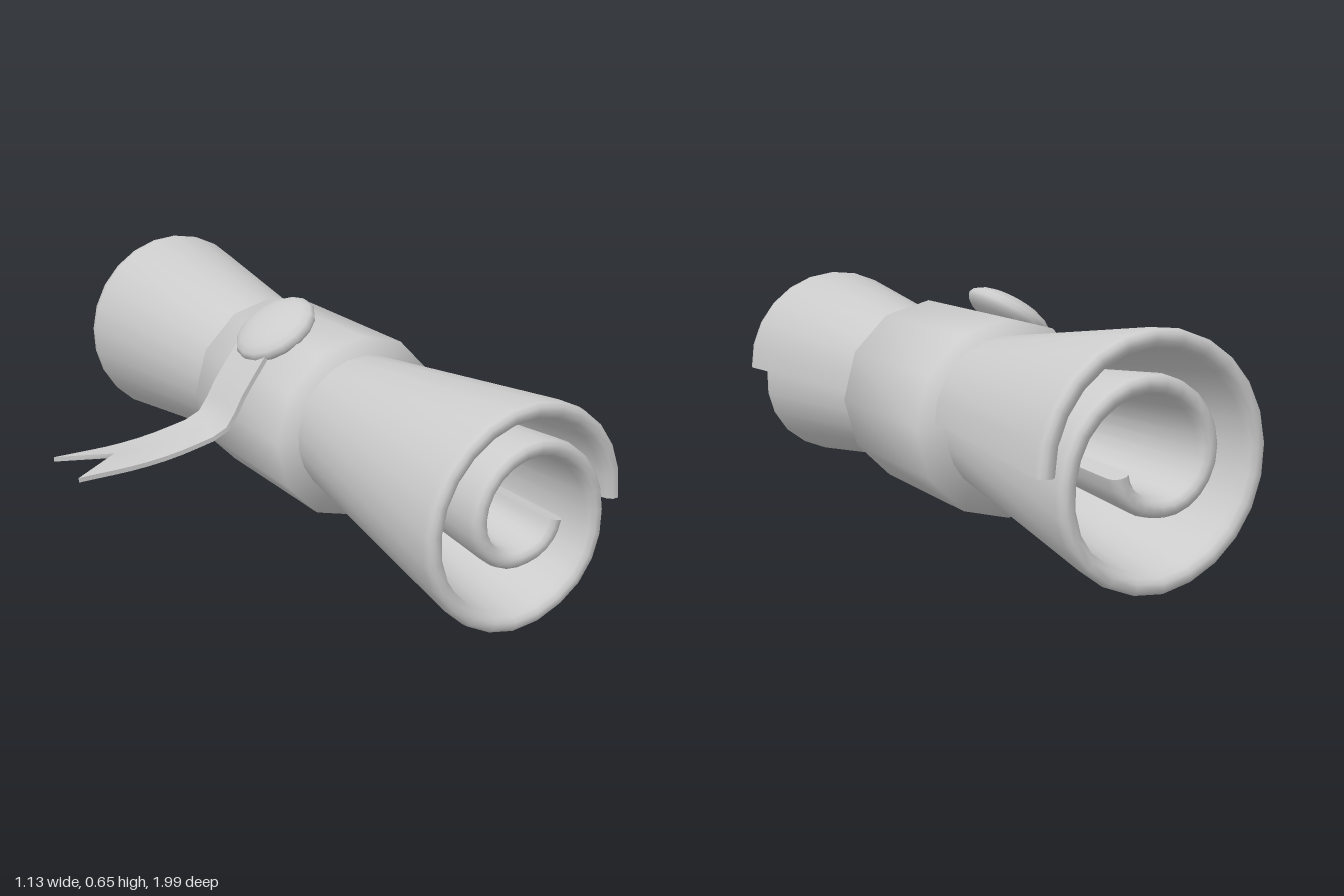
import * as THREE from 'three';
import { mergeVertices, toCreasedNormals } from 'three/addons/utils/BufferGeometryUtils.js';

const material = new THREE.MeshStandardMaterial({ color: 0xcccccc, side: THREE.DoubleSide });

function part(name, geometry) {
  const mesh = new THREE.Mesh(geometry, material);
  mesh.name = name;
  return mesh;
}

// Spiral centre-line: [angle in degrees, radius at the flared ends]
const SPIRAL = [
  [0, 0.285], [90, 0.29], [180, 0.292], [270, 0.293], [315, 0.272], [360, 0.226],
  [405, 0.2], [450, 0.186], [540, 0.152], [630, 0.106], [708, 0.095],
];

function spiralRadius(angle) {
  let i = 0;
  while (i < SPIRAL.length - 2 && angle > SPIRAL[i + 1][0]) i++;
  const [a0, r0] = SPIRAL[i], [a1, r1] = SPIRAL[i + 1];
  return THREE.MathUtils.lerp(r0, r1, (angle - a0) / (a1 - a0));
}

// Rolled sheet: closed spiral outline swept along z, narrow at the waist
function scrollGeometry() {
  const steps = 48, ring = 2 * (steps + 1);
  // [z, wall thickness]; the thinner last stations round off the rims
  const stations = [
    [-0.995, 0.018], [-0.985, 0.04], [-0.965, 0.05], [-0.25, 0.04], [0, 0.03],
    [0.25, 0.04], [0.965, 0.05], [0.985, 0.04], [0.995, 0.018],
  ];
  const positions = [], index = [];
  for (const [z, thickness] of stations) {
    const scale = 0.57 + 0.43 * Math.abs(z) + (z < 0 ? 0.025 * -z : 0);
    const cy = 0.333 - 0.012 * z;
    for (let i = 0; i < ring; i++) {
      const outer = i <= steps;
      const angle = 708 * (outer ? i : ring - 1 - i) / steps;
      const r = spiralRadius(angle) * scale + (outer ? 0.5 : -0.5) * thickness;
      const a = THREE.MathUtils.degToRad(angle);
      positions.push(0.247 + r * Math.cos(a), cy + r * Math.sin(a), z);
    }
  }
  for (let j = 0; j < stations.length - 1; j++) {
    for (let i = 0; i < ring; i++) {
      const a = j * ring + i, b = j * ring + (i + 1) % ring;
      index.push(a, b, b + ring, a, b + ring, a + ring);
    }
  }
  // Rim faces at both ends
  const front = (stations.length - 1) * ring;
  for (let k = 0; k < steps; k++) {
    const o0 = k, o1 = k + 1, i0 = ring - 1 - k, i1 = ring - 2 - k;
    index.push(front + o0, front + o1, front + i1, front + o0, front + i1, front + i0);
    index.push(o0, i1, o1, o0, i0, i1);
  }
  const geometry = new THREE.BufferGeometry();
  geometry.setAttribute('position', new THREE.Float32BufferAttribute(positions, 3));
  geometry.setIndex(index);
  return toCreasedNormals(geometry, 1.0);
}

// Twelve-sided capped band, softly shaded across its edges
function bandGeometry() {
  let geometry = new THREE.CylinderGeometry(0.28, 0.28, 0.5, 12);
  geometry.deleteAttribute('normal');
  geometry.deleteAttribute('uv');
  geometry = mergeVertices(geometry);
  geometry.rotateX(Math.PI / 2);
  geometry.computeVertexNormals();
  return geometry;
}

// Thin strip bent along a curve, with its middle pulled back into a swallowtail
function ribbonGeometry() {
  const curve = new THREE.CatmullRomCurve3([
    [0.04, 0.55], [-0.055, 0.41], [-0.105, 0.325], [-0.23, 0.285], [-0.37, 0.264], [-0.575, 0.257],
  ].map(([x, y]) => new THREE.Vector3(x, y, 0)));
  const geometry = new THREE.BoxGeometry(1, 0.014, 2, 14, 1, 2);
  const position = geometry.attributes.position;
  for (let i = 0; i < position.count; i++) {
    const side = position.getZ(i), offset = position.getY(i);
    const end = position.getX(i) + 0.5;
    const t = end * (1 - 0.2 * (1 - Math.abs(side)) * end);
    const p = curve.getPointAt(t), d = curve.getTangentAt(t);
    const lift = side === 0 ? 0.012 * end ** 4 : 0;
    position.setXYZ(i,
      p.x - d.y * offset,
      p.y + d.x * offset + lift,
      -0.018 - 0.022 * t + side * (0.083 + 0.008 * t));
  }
  geometry.computeVertexNormals();
  return geometry;
}

export function createModel() {
  const model = new THREE.Group();
  model.name = 'rolledScroll';

  model.add(part('rolledSheet', scrollGeometry()));

  const band = part('band', bandGeometry());
  band.position.set(0.24, 0.325, -0.015);
  model.add(band);

  // Flattened wax seal, tilted to lie on the band
  const seal = part('seal', new THREE.SphereGeometry(0.132, 16, 10));
  seal.scale.y = 0.36;
  seal.position.set(0.103, 0.582, -0.018);
  seal.rotation.z = THREE.MathUtils.degToRad(33);
  model.add(seal);

  model.add(part('ribbon', ribbonGeometry()));
  return model;
}
